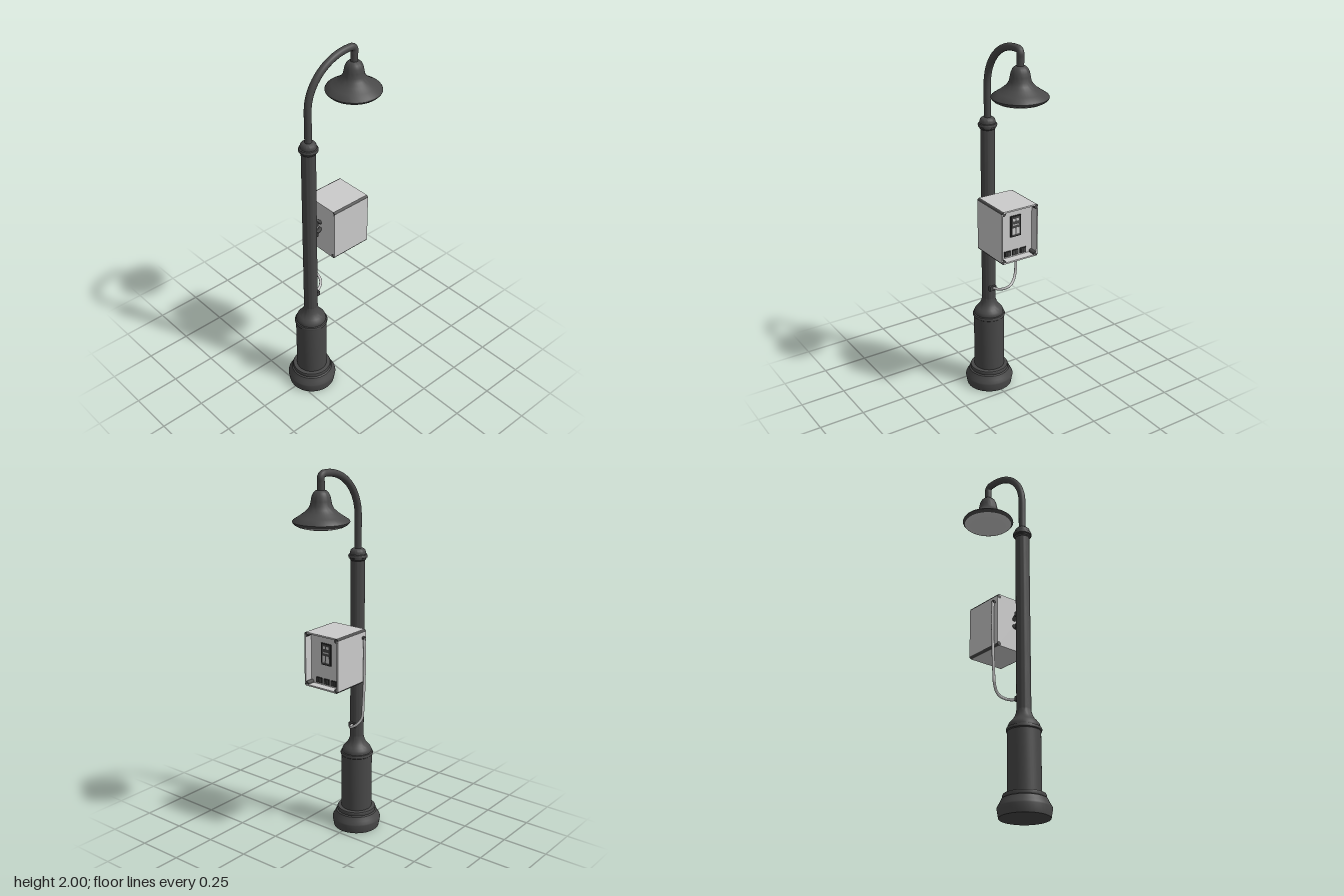
import * as THREE from 'three';
import { toCreasedNormals } from 'three/addons/utils/BufferGeometryUtils.js';

const dark = new THREE.MeshStandardMaterial({ color: 0x484848 });
const black = new THREE.MeshStandardMaterial({ color: 0x2e2e2e });
const grey = new THREE.MeshStandardMaterial({ color: 0xcccccc });
const POLE_X = -0.152, LAMP_X = 0.142;

export function createModel() {
  const root = new THREE.Group();

  function add(parent, name, geo, mat, x = 0, y = 0, z = 0) {
    const mesh = new THREE.Mesh(geo, mat);
    mesh.name = name;
    mesh.position.set(x, y, z);
    parent.add(mesh);
    return mesh;
  }
  const box = (parent, name, mat, sx, sy, sz, x, y, z) =>
    add(parent, name, new THREE.BoxGeometry(sx, sy, sz), mat, x, y, z);
  const lathe = (pts, crease = 0.6) => toCreasedNormals(
    new THREE.LatheGeometry(pts.map(p => new THREE.Vector2(...p)), 40), crease);
  const tube = (pts, r, n = 64, sides = 16) => new THREE.TubeGeometry(
    new THREE.CatmullRomCurve3(pts.map(p => new THREE.Vector3(...p)), false, 'centripetal'), n, r, sides);

  // Turned post: plinth, thick lower column, shoulder, slim shaft and collar
  add(root, 'postBase', lathe([
    [0, 0], [0.125, 0], [0.133, 0.045], [0.131, 0.053], [0.122, 0.068], [0.112, 0.09],
    [0.104, 0.094], [0.106, 0.1], [0.106, 0.108], [0.103, 0.114], [0.083, 0.116], [0.083, 0.425],
  ]), dark, POLE_X);
  add(root, 'shoulder', lathe([
    [0.083, 0.425], [0.088, 0.429], [0.089, 0.437], [0.086, 0.444], [0.08, 0.446], [0.08, 0.456],
    [0.075, 0.468], [0.064, 0.481], [0.053, 0.493], [0.045, 0.508], [0.039, 0.525], [0.037, 0.54],
  ]), dark, POLE_X);
  add(root, 'shaft', lathe([[0.037, 0.54], [0.037, 1.52]]), dark, POLE_X);
  add(root, 'collar', lathe([
    [0.037, 1.51], [0.043, 1.517], [0.043, 1.523], [0.049, 1.526], [0.05, 1.534], [0.047, 1.541],
    [0.041, 1.543], [0.041, 1.553], [0.037, 1.564], [0.029, 1.571], [0.018, 1.573],
  ]), dark, POLE_X);

  // Gooseneck: straight riser, quarter ellipse, short drop
  const neck = [[POLE_X, 1.55, 0], [POLE_X, 1.65, 0]];
  for (let i = 0; i <= 10; i++) {
    const a = (i / 10) * Math.PI / 2;
    neck.push([0.105 - 0.257 * Math.cos(a), 1.74 + 0.241 * Math.sin(a), 0]);
  }
  neck.push([0.13, 1.979, 0], [LAMP_X, 1.966, 0], [LAMP_X, 1.94, 0], [LAMP_X, 1.89, 0]);
  add(root, 'gooseneck', tube(neck, 0.0185, 100), dark);

  // Flared shade with a shallow convex glass underneath
  const shade = add(root, 'lampShade', lathe([
    [0.142, 1.752], [0.138, 1.759], [0.11, 1.777], [0.083, 1.796], [0.064, 1.814], [0.054, 1.832],
    [0.05, 1.853], [0.046, 1.873], [0.038, 1.891], [0.026, 1.902], [0, 1.905],
  ], 0.9), dark.clone(), LAMP_X);
  shade.material.side = THREE.DoubleSide;
  add(root, 'shadeRim', lathe([
    [0.13, 1.737], [0.14, 1.747], [0.142, 1.752],
  ]), dark, LAMP_X);
  add(root, 'lampGlass', lathe([
    [0, 1.717], [0.05, 1.718], [0.09, 1.722], [0.115, 1.729], [0.13, 1.737],
  ], 0.9), grey, LAMP_X);

  // Signal housing: four walls around a recessed display, open towards +x
  const housing = new THREE.Group();
  housing.name = 'signalHousing';
  housing.position.set(0.035, 1.03, 0);
  root.add(housing);
  const L = 0.23, H = 0.29, D = 0.22, R = 0.012, T = 0.008;
  for (const s of [-1, 1]) {
    box(housing, 'horizontalWall', grey, L, T, D - 2 * R, 0, s * (H - T) / 2, 0);
    box(housing, 'sideWall', grey, L, H - 2 * R, T, 0, 0, s * (D - T) / 2);
    for (const t of [-1, 1]) {
      const edge = add(housing, 'roundedEdge', new THREE.CylinderGeometry(R, R, L, 16), dark,
        0, s * (H / 2 - R), t * (D / 2 - R));
      edge.rotation.z = Math.PI / 2;
    }
  }
  box(housing, 'backPlate', grey, 0.008, H - 0.016, D - 0.016, -L / 2 + 0.004, 0, 0);
  const px = L / 2 - 0.045;
  box(housing, 'displayPanel', grey, 0.006, H - 0.016, D - 0.016, px - 0.003, 0, 0);

  // Display window with plain indicator blocks
  box(housing, 'windowFrame', black, 0.006, 0.116, 0.062, px + 0.003, 0.033, 0);
  box(housing, 'windowFace', dark, 0.002, 0.104, 0.05, px + 0.006, 0.033, 0);
  for (const s of [-1, 1]) {
    box(housing, 'upperIndicator', grey, 0.002, 0.014, 0.015, px + 0.007, 0.069, s * 0.011);
    box(housing, 'lowerIndicator', grey, 0.002, 0.036, 0.017, px + 0.007, 0.007, s * 0.012);
  }
  box(housing, 'middleIndicator', grey, 0.002, 0.006, 0.036, px + 0.007, 0.042, 0);

  // Row of small vents along the lower edge
  for (let i = 0; i < 3; i++) {
    const z = (i - 1) * 0.048;
    box(housing, 'vent', black, 0.005, 0.03, 0.038, px + 0.002, -0.115, z);
    for (const s of [-1, 1])
      box(housing, 'ventBar', dark, 0.004, 0.02, 0.008, px + 0.004, -0.115, z + s * 0.009);
  }

  // Curved mounting arms between shaft and housing
  for (const s of [-1, 1]) {
    add(root, 'mountingArm', tube([
      [-0.122, 1.04 + s * 0.034, 0], [-0.103, 1.04 + s * 0.036, 0],
      [-0.09, 1.04 + s * 0.028, 0], [-0.076, 1.04 + s * 0.016, 0],
    ], 0.01, 16, 10), dark);
    box(root, 'armFoot', dark, 0.012, 0.024, 0.04, -0.116, 1.04 + s * 0.034, 0);
  }

  // Cable conduit from the rear wall down to the shaft
  add(root, 'conduit', tube([
    [-0.055, 1.135, -0.105], [-0.055, 1.132, -0.116], [-0.055, 1.115, -0.12], [-0.056, 0.9, -0.12],
    [-0.056, 0.76, -0.114], [-0.054, 0.69, -0.108], [-0.042, 0.653, -0.085], [-0.038, 0.635, -0.06],
    [-0.05, 0.622, -0.035], [-0.075, 0.613, -0.015], [-0.118, 0.608, 0],
  ], 0.0075, 90, 10), grey);
  const cap = add(root, 'conduitFitting', new THREE.CylinderGeometry(0.009, 0.009, 0.016, 14), dark,
    -0.055, 1.134, -0.115);
  cap.rotation.x = Math.PI / 2;
  box(root, 'conduitClip', dark, 0.016, 0.026, 0.04, -0.112, 0.608, 0);

  return root;
}
